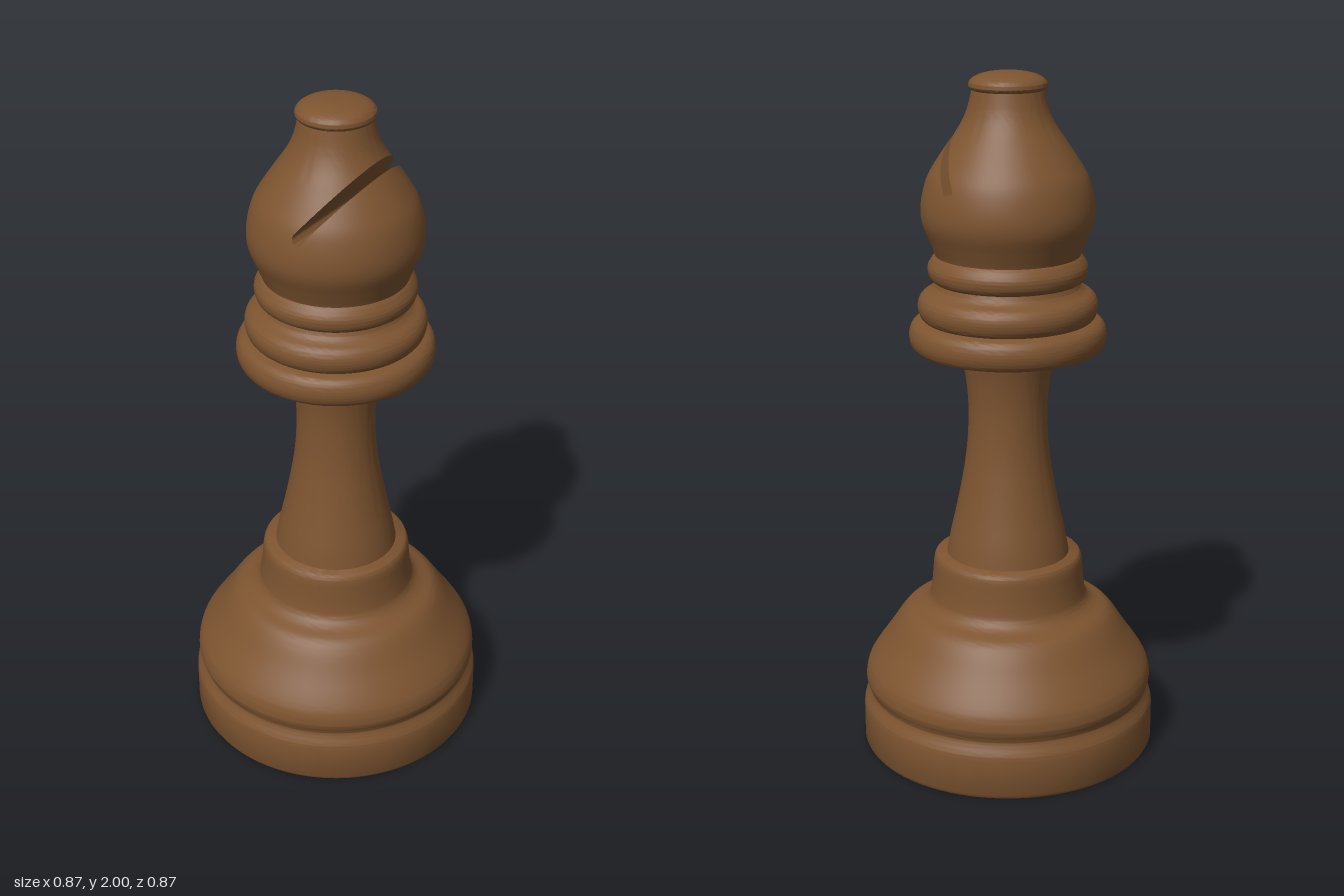
import * as THREE from 'three';
import { toCreasedNormals } from 'three/addons/utils/BufferGeometryUtils.js';

const SEGMENTS = 96;
const wood = new THREE.MeshStandardMaterial({ color: 0x7d5430 });
wood.name = 'brown wood';

// Each section of [radius, height] points is a smooth curve; sections meet at sharp corners.
function profile(...sections) {
  const points = [];
  for (const section of sections) {
    const knots = section.map(([r, y]) => new THREE.Vector2(r, y));
    const samples = knots.length > 2
      ? new THREE.SplineCurve(knots).getPoints((knots.length - 1) * 5) : knots;
    for (const p of samples) {
      if (!points.length || points[points.length - 1].distanceTo(p) > 1e-5) points.push(p);
    }
  }
  return points;
}

const turned = (points) => toCreasedNormals(new THREE.LatheGeometry(points, SEGMENTS), 0.65);

function part(name, geometry) {
  const mesh = new THREE.Mesh(geometry, wood);
  mesh.name = name;
  return mesh;
}

// Splits a convex polygon by a signed distance into its inside and outside pieces.
function split(poly, dist) {
  const inside = [], outside = [];
  poly.forEach((a, i) => {
    const b = poly[(i + 1) % poly.length];
    const da = dist(a), db = dist(b);
    (da >= 0 ? inside : outside).push(a);
    if ((da >= 0) !== (db >= 0)) {
      const k = da / (da - db);
      const m = a.map((v, j) => v + (b[j] - v) * k);
      inside.push(m);
      outside.push(m);
    }
  });
  return [inside, outside];
}

// Removes everything left of all the edges of an open convex outline, along the whole of z.
function cutSlot(geometry, outline) {
  const pos = geometry.attributes.position, nor = geometry.attributes.normal;
  const positions = [], normals = [];
  const emit = (poly) => {
    for (let i = 1; i + 1 < poly.length; i++) {
      for (const v of [poly[0], poly[i], poly[i + 1]]) {
        positions.push(v[0], v[1], v[2]);
        normals.push(v[3], v[4], v[5]);
      }
    }
  };
  const edges = outline.slice(1).map((b, i) => {
    const a = outline[i];
    return (p) => (b.x - a.x) * (p[1] - a.y) - (b.y - a.y) * (p[0] - a.x);
  });
  for (let i = 0; i < pos.count; i += 3) {
    const triangle = [0, 1, 2].map((j) => [
      pos.getX(i + j), pos.getY(i + j), pos.getZ(i + j),
      nor.getX(i + j), nor.getY(i + j), nor.getZ(i + j)]);
    let rest = triangle;
    const kept = [];
    for (const edge of edges) {
      const [inside, outside] = split(rest, edge);
      if (outside.length > 2) kept.push(outside);
      rest = inside;
      if (rest.length < 3) break;
    }
    if (rest.length < 3) emit(triangle);
    else kept.forEach(emit);
  }
  const result = new THREE.BufferGeometry();
  result.setAttribute('position', new THREE.Float32BufferAttribute(positions, 3));
  result.setAttribute('normal', new THREE.Float32BufferAttribute(normals, 3));
  return result;
}

// Head with a slanted, round-bottomed slot running right through it
function makeHead() {
  const points = profile([[0.2, 1.47], [0.208, 1.495], [0.222, 1.53], [0.243, 1.585], [0.244, 1.64],
    [0.228, 1.705], [0.2, 1.755], [0.165, 1.807], [0.133, 1.855], [0.113, 1.9], [0.1, 1.955]]);
  const radiusAt = (y) => {
    const i = Math.max(1, points.findIndex((p) => p.y >= y));
    const a = points[i - 1], b = points[i];
    return a.x + (b.x - a.x) * (y - a.y) / (b.y - a.y);
  };

  const halfWidth = 0.016;
  const along = new THREE.Vector2(0.61, 0.792).normalize();
  const across = new THREE.Vector2(-along.y, along.x);
  const at = (t, s) => new THREE.Vector2(0.029, 1.693).addScaledVector(along, t).addScaledVector(across, s);

  // Distance along the slot at which a side leaves the surface
  const exitOf = (s) => {
    let low = 0, high = 0.25;
    for (let i = 0; i < 30; i++) {
      const mid = (low + high) / 2, p = at(mid, s);
      if (p.x < radiusAt(p.y)) low = mid; else high = mid;
    }
    return low;
  };
  const arc = [];
  for (let i = 0; i <= 10; i++) {
    const angle = Math.PI * (0.5 + i / 10);
    arc.push(at(halfWidth * Math.cos(angle), halfWidth * Math.sin(angle)));
  }
  const outline = [at(0.3, halfWidth), ...arc, at(0.3, -halfWidth)];

  // Slot walls follow the outline and reach the surface on both sides
  const path = [];
  const steps = 32, top = exitOf(halfWidth), bottom = exitOf(-halfWidth);
  for (let i = 0; i < steps; i++) path.push(at(top * (1 - (i / steps) ** 2), halfWidth));
  path.push(...arc);
  for (let i = steps - 1; i >= 0; i--) path.push(at(bottom * (1 - (i / steps) ** 2), -halfWidth));
  const positions = [], index = [];
  path.forEach((p, i) => {
    const z = Math.sqrt(Math.max(0, radiusAt(p.y) ** 2 - p.x ** 2));
    positions.push(p.x, p.y, -z, p.x, p.y, z);
    if (i) {
      const a = 2 * i - 2;
      index.push(a, a + 1, a + 2, a + 1, a + 3, a + 2);
    }
  });
  const walls = new THREE.BufferGeometry();
  walls.setAttribute('position', new THREE.Float32BufferAttribute(positions, 3));
  walls.setIndex(index);

  const head = new THREE.Group();
  head.name = 'head';
  head.add(part('headShell', cutSlot(turned(points), outline)),
    part('slotWalls', toCreasedNormals(walls, 0.65)));
  return head;
}

export function createModel() {
  const model = new THREE.Group();
  model.name = 'chessPiece';

  // Wide foot with a groove, a sloping shoulder and a short neck
  model.add(part('base', turned(profile(
    [[0, 0], [0.428, 0]],
    [[0.428, 0], [0.435, 0.012]],
    [[0.435, 0.012], [0.435, 0.115]],
    [[0.435, 0.115], [0.432, 0.132], [0.422, 0.152], [0.416, 0.17], [0.422, 0.185], [0.427, 0.205],
      [0.421, 0.24], [0.402, 0.275], [0.36, 0.335], [0.322, 0.392], [0.295, 0.419], [0.256, 0.436],
      [0.234, 0.458], [0.226, 0.495], [0.222, 0.535], [0.219, 0.57], [0.213, 0.588], [0.202, 0.595]],
    [[0.202, 0.595], [0, 0.595]]))));

  // Waisted stem
  model.add(part('stem', turned(profile([[0.181, 0.59], [0.17, 0.65], [0.152, 0.73], [0.136, 0.81],
    [0.123, 0.89], [0.116, 0.97], [0.115, 1.05], [0.121, 1.12], [0.131, 1.175], [0.142, 1.22]]))));

  // Stacked collars
  model.add(part('lowerCollar', turned(profile(
    [[0, 1.213], [0.252, 1.213]],
    [[0.252, 1.213], [0.269, 1.219], [0.279, 1.235], [0.283, 1.257], [0.279, 1.28], [0.268, 1.296], [0.25, 1.304]],
    [[0.25, 1.304], [0, 1.304]]))));
  model.add(part('middleCollar', turned(profile(
    [[0, 1.302], [0.238, 1.302]],
    [[0.238, 1.302], [0.25, 1.314], [0.257, 1.338], [0.254, 1.36], [0.242, 1.377], [0.22, 1.389], [0.207, 1.402], [0.201, 1.42]],
    [[0.201, 1.42], [0, 1.42]]))));
  model.add(part('upperCollar', turned(profile(
    [[0, 1.415], [0.21, 1.415]],
    [[0.21, 1.415], [0.222, 1.425], [0.228, 1.445], [0.226, 1.462], [0.217, 1.477], [0.208, 1.488], [0.2, 1.492]],
    [[0.2, 1.492], [0, 1.492]]))));

  model.add(makeHead());

  // Domed button on top
  model.add(part('topButton', turned(profile(
    [[0, 1.948], [0.095, 1.948]],
    [[0.095, 1.948], [0.106, 1.953], [0.11, 1.964], [0.104, 1.977], [0.085, 1.989], [0.055, 1.997], [0.025, 2], [0, 2]]))));

  return model;
}
